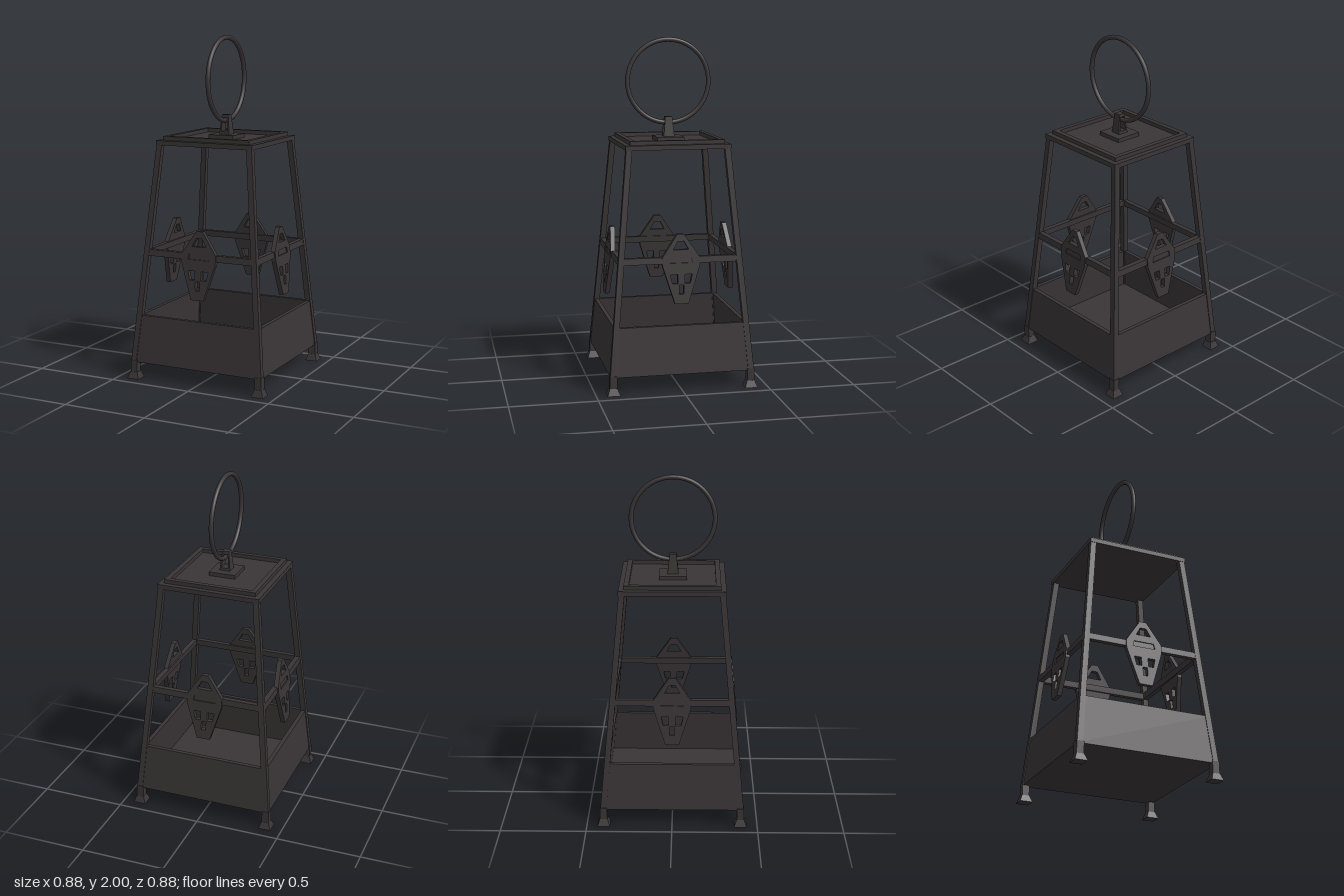
import * as THREE from 'three';

const iron = new THREE.MeshStandardMaterial({ color: 0x3a3536, flatShading: true });
const smoothIron = new THREE.MeshStandardMaterial({ color: 0x3a3536 });

// Half-width of the tapering lantern at height y
const outer = (y) => 0.42 - (y - 0.1) * 0.0923;

// Move every vertex of a geometry by a rule
function reshape(geo, rule) {
  const p = geo.attributes.position;
  const v = new THREE.Vector3();
  for (let i = 0; i < p.count; i++) {
    rule(v.fromBufferAttribute(p, i));
    p.setXYZ(i, v.x, v.y, v.z);
  }
  geo.computeVertexNormals();
  return geo;
}

function add(parent, name, geo, material = iron) {
  const mesh = new THREE.Mesh(geo, material);
  mesh.name = name;
  parent.add(mesh);
  return mesh;
}

function slab(parent, name, half, y0, y1) {
  add(parent, name, new THREE.BoxGeometry(2 * half, y1 - y0, 2 * half)).position.y = (y0 + y1) / 2;
}

// Sloping bar along the front face, mitred at its ends
function faceBar(y0, y1, inset, thickness) {
  return reshape(new THREE.BoxGeometry(2, y1 - y0, 1), (v) => {
    v.y += (y0 + y1) / 2;
    v.z = outer(v.y) - inset - (v.z > 0 ? 0 : thickness);
    v.x *= v.z;
  });
}

// Square frustum standing on y0
function frustum(half0, half1, y0, y1) {
  return reshape(new THREE.BoxGeometry(2, y1 - y0, 2), (v) => {
    const h = v.y < 0 ? half0 : half1;
    v.x *= h;
    v.z *= h;
    v.y += (y0 + y1) / 2;
  });
}

const polygon = (points, Type = THREE.Shape) =>
  new Type(points.map(([x, y]) => new THREE.Vector2(x, y)));

// Pierced shield ornament lying in the sloping face
function shieldGeometry() {
  const shape = polygon([
    [-0.04, 0.505], [0.04, 0.505], [0.108, 0.72], [0.108, 0.77],
    [0.02, 0.9], [-0.02, 0.9], [-0.108, 0.77], [-0.108, 0.72],
  ]);
  const holes = [
    [[-0.045, 0.812], [0.045, 0.812], [0.018, 0.86], [-0.018, 0.86]],
    [[-0.068, 0.737], [0.068, 0.737], [0.06, 0.77], [-0.06, 0.77]],
    [[-0.014, 0.56], [0.014, 0.56], [0.014, 0.612], [-0.014, 0.612]],
  ];
  for (const s of [-1, 1]) {
    holes.push([[s * 0.02, 0.62], [s * 0.052, 0.62], [s * 0.064, 0.672], [s * 0.02, 0.672]]);
  }
  for (const h of holes) shape.holes.push(polygon(h, THREE.Path));
  const depth = 0.027;
  const geo = new THREE.ExtrudeGeometry(shape, { depth, bevelEnabled: false });
  return reshape(geo, (v) => { v.z += outer(v.y) + 0.005 - depth; });
}

// Small tapered eye that holds the ring
function eyeGeometry() {
  const shape = polygon([[-0.032, 1.425], [0.032, 1.425], [0.02, 1.54], [-0.02, 1.54]]);
  shape.holes.push(polygon([[-0.021, 1.44], [0.021, 1.44], [0.014, 1.522], [-0.014, 1.522]], THREE.Path));
  const geo = new THREE.ExtrudeGeometry(shape, { depth: 2, bevelEnabled: false });
  return reshape(geo, (v) => {
    v.z = (v.z - 1) * (0.032 - (v.y - 1.425) * 0.104);
  });
}

export function createModel() {
  const lantern = new THREE.Group();
  lantern.name = 'lantern';

  // Four identical sides: wall, rail, shield, post, foot
  const wall = faceBar(0.1, 0.38, 0.004, 0.024);
  const rail = faceBar(0.733, 0.77, 0.002, 0.03);
  const shield = shieldGeometry();
  const postWidth = 0.034;
  const post = reshape(new THREE.BoxGeometry(1, 1.28, 1), (v) => {
    v.y += 0.74;
    v.x = outer(v.y) - (v.x > 0 ? 0 : postWidth);
    v.z = outer(v.y) - (v.z > 0 ? 0 : postWidth);
  });
  const footNeck = frustum(0.021, 0.021, 0.035, 0.11).translate(0.401, 0, 0.401);
  const footFlare = frustum(0.037, 0.022, 0, 0.04).translate(0.401, 0, 0.401);
  const lidRim = reshape(new THREE.BoxGeometry(2, 0.03, 1), (v) => {
    v.y += 1.41;
    v.z = v.z > 0 ? 0.275 : 0.246;
    v.x *= v.z;
  });

  for (let i = 0; i < 4; i++) {
    const side = new THREE.Group();
    side.name = 'side' + (i + 1);
    side.rotation.y = (i * Math.PI) / 2;
    add(side, 'trayWall', wall);
    add(side, 'middleRail', rail);
    add(side, 'shieldOrnament', shield);
    add(side, 'cornerPost', post);
    add(side, 'footNeck', footNeck);
    add(side, 'footFlare', footFlare);
    add(side, 'lidRim', lidRim);
    lantern.add(side);
  }

  // Tray floor and lid
  slab(lantern, 'trayFloor', 0.41, 0.1, 0.12);
  slab(lantern, 'lidPlate', 0.305, 1.375, 1.402);
  slab(lantern, 'eyePad', 0.08, 1.4, 1.425);

  // Carrying ring through the eye
  add(lantern, 'ringEye', eyeGeometry());
  const ring = add(lantern, 'carryingRing', new THREE.TorusGeometry(0.241, 0.0135, 12, 64), smoothIron);
  ring.rotation.y = Math.PI / 2;
  ring.position.y = 1.7455;

  return lantern;
}
